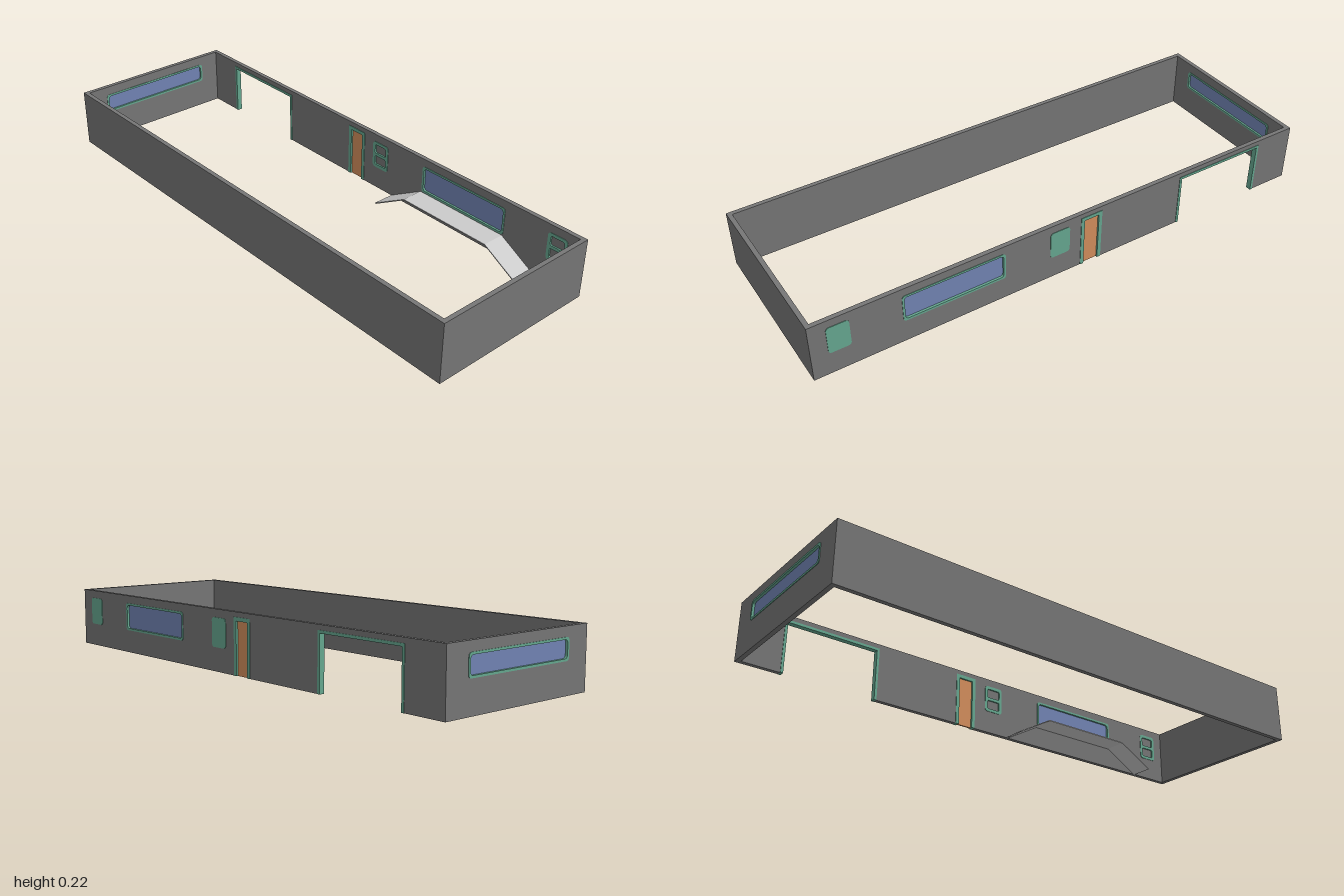
import * as THREE from 'three';

const H = 0.225, W = 1, D = 0.335, T = 0.017, LIP = 0.002;
const mat = (color, extra = {}) => new THREE.MeshStandardMaterial({ color, ...extra });

// Rectangle from (x0,y0) to (x1,y1) with corner radius r
function rect(Type, x0, y0, x1, y1, r) {
  const p = new Type();
  p.moveTo(x0 + r, y0);
  p.lineTo(x1 - r, y0);
  p.absarc(x1 - r, y0 + r, r, -Math.PI / 2, 0);
  p.lineTo(x1, y1 - r);
  p.absarc(x1 - r, y1 - r, r, 0, Math.PI / 2);
  p.lineTo(x0 + r, y1);
  p.absarc(x0 + r, y1 - r, r, Math.PI / 2, Math.PI);
  p.lineTo(x0, y0 + r);
  p.absarc(x0 + r, y0 + r, r, Math.PI, Math.PI * 1.5);
  return p;
}

const poly = (pts) => new THREE.Shape(pts.map(([x, y]) => new THREE.Vector2(x, y)));

export function createModel() {
  const model = new THREE.Group();
  const wallMat = mat(0x767676);
  const frameMat = mat(0x66a890);
  const glassMat = mat(0x7284b4);
  const doorMat = mat(0xd38e5c);
  const greyMat = mat(0xcccccc);

  // Extrude a shape from local depth z0 to z1
  function slab(parent, name, shape, z0, z1, material) {
    const geo = new THREE.ExtrudeGeometry(shape, { depth: z1 - z0, bevelEnabled: false, curveSegments: 6 });
    geo.translate(0, 0, z0);
    const mesh = new THREE.Mesh(geo, material);
    mesh.name = name;
    parent.add(mesh);
    return mesh;
  }

  function box(parent, name, x0, x1, y0, y1, z0, z1, material) {
    const mesh = new THREE.Mesh(new THREE.BoxGeometry(x1 - x0, y1 - y0, z1 - z0), material);
    mesh.position.set((x0 + x1) / 2, (y0 + y1) / 2, (z0 + z1) / 2);
    mesh.name = name;
    parent.add(mesh);
  }

  // Window: a rounded frame through the wall with a recessed pane; local z = 0 is the outside
  const R = 0.012, RIM = 0.008;
  const hole = ([x0, x1, y0, y1]) =>
    rect(THREE.Path, x0 + RIM / 2, y0 + RIM / 2, x1 - RIM / 2, y1 - RIM / 2, R - RIM / 2);
  function windowUnit(parent, name, [x0, x1, y0, y1]) {
    const g = new THREE.Group();
    g.name = name;
    const ring = rect(THREE.Shape, x0, y0, x1, y1, R);
    ring.holes.push(rect(THREE.Path, x0 + RIM, y0 + RIM, x1 - RIM, y1 - RIM, R));
    slab(g, 'windowFrame', ring, -LIP, T + LIP, frameMat);
    slab(g, 'windowGlass', rect(THREE.Shape, x0 + RIM, y0 + RIM, x1 - RIM, y1 - RIM, R),
      T * 0.4, T * 0.65, glassMat);
    parent.add(g);
  }

  // Small hatch: closed outside, two panels with a crossbar inside
  function hatch(parent, name, [x0, x1, y0, y1]) {
    const g = new THREE.Group();
    g.name = name;
    const mid = (y0 + y1) / 2;
    slab(g, 'hatchCover', rect(THREE.Shape, x0, y0, x1, y1, R), -LIP, T * 0.6, frameMat);
    const inner = rect(THREE.Shape, x0, y0, x1, y1, R);
    for (const [a, b] of [[y0 + 0.012, mid - 0.006], [mid + 0.006, y1 - 0.012]]) {
      inner.holes.push(rect(THREE.Path, x0 + 0.012, a, x1 - 0.012, b, 0.006));
      box(g, 'hatchPanel', x0 + 0.012, x1 - 0.012, a, b, T * 0.6, T * 0.75, wallMat);
    }
    slab(g, 'hatchFrame', inner, T * 0.6, T + LIP, frameMat);
    parent.add(g);
  }

  // Upside-down U frame standing on the floor
  function portal(parent, name, x0, x1, top, w) {
    slab(parent, name, poly([[x0, 0], [x0 + w, 0], [x0 + w, top - w], [x1 - w, top - w],
      [x1 - w, 0], [x1, 0], [x1, top], [x0, top]]), -LIP, T + LIP, frameMat);
  }

  // Plain front and right walls, lapping at the corners
  box(model, 'frontWall', -W + T, W, 0, H, D - T, D, wallMat);
  box(model, 'rightSideWall', W - T, W, 0, H, -D, D - T, wallMat);

  // Back wall with gateway, door, windows and hatches
  const back = new THREE.Group();
  back.name = 'backWall';
  back.position.z = -D;
  model.add(back);
  const gate = [-0.84, -0.46], door = [-0.112, -0.024], doorTop = 0.207;
  const bigWindow = [0.285, 0.675, 0.088, 0.195];
  const hatches = [[0.024, 0.104, 0.088, 0.195], [0.86, 0.94, 0.088, 0.195]];
  const backShape = poly([[-W, 0], [gate[0], 0], [gate[0], doorTop], [gate[1], doorTop], [gate[1], 0],
    [door[0], 0], [door[0], doorTop], [door[1], doorTop], [door[1], 0], [W - T, 0], [W - T, H], [-W, H]]);
  backShape.holes.push(hole(bigWindow), ...hatches.map(hole));
  slab(back, 'backPanel', backShape, 0, T, wallMat);
  portal(back, 'gatewayFrame', gate[0], gate[1], doorTop, 0.01);
  portal(back, 'doorFrame', door[0], door[1], doorTop, 0.014);
  box(back, 'door', door[0] + 0.014, door[1] - 0.014, 0, doorTop - 0.014, T * 0.3, T * 0.7, doorMat);
  windowUnit(back, 'longWindow', bigWindow);
  hatches.forEach((h) => hatch(back, 'hatch', h));

  // Left wall with its long window
  const side = new THREE.Group();
  side.name = 'leftSideWall';
  side.position.x = -W;
  side.rotation.y = Math.PI / 2;
  model.add(side);
  const sideWindow = [-0.24, 0.24, 0.113, 0.19];
  const sideShape = poly([[-D, 0], [D - T, 0], [D - T, H], [-D, H]]);
  sideShape.holes.push(hole(sideWindow));
  slab(side, 'sidePanel', sideShape, 0, T, wallMat);
  windowUnit(side, 'sideWindow', sideWindow);

  // Bent platform: level in the middle, sloping to the floor at both ends
  const t = 0.004;
  slab(model, 'slopedPlatform', poly([[0.13, 0], [0.138, 0], [0.28, 0.085 - t], [0.67, 0.085 - t],
    [0.812, 0], [0.82, 0], [0.67, 0.085], [0.28, 0.085]]), -D + T, -0.23, greyMat);

  return model;
}
